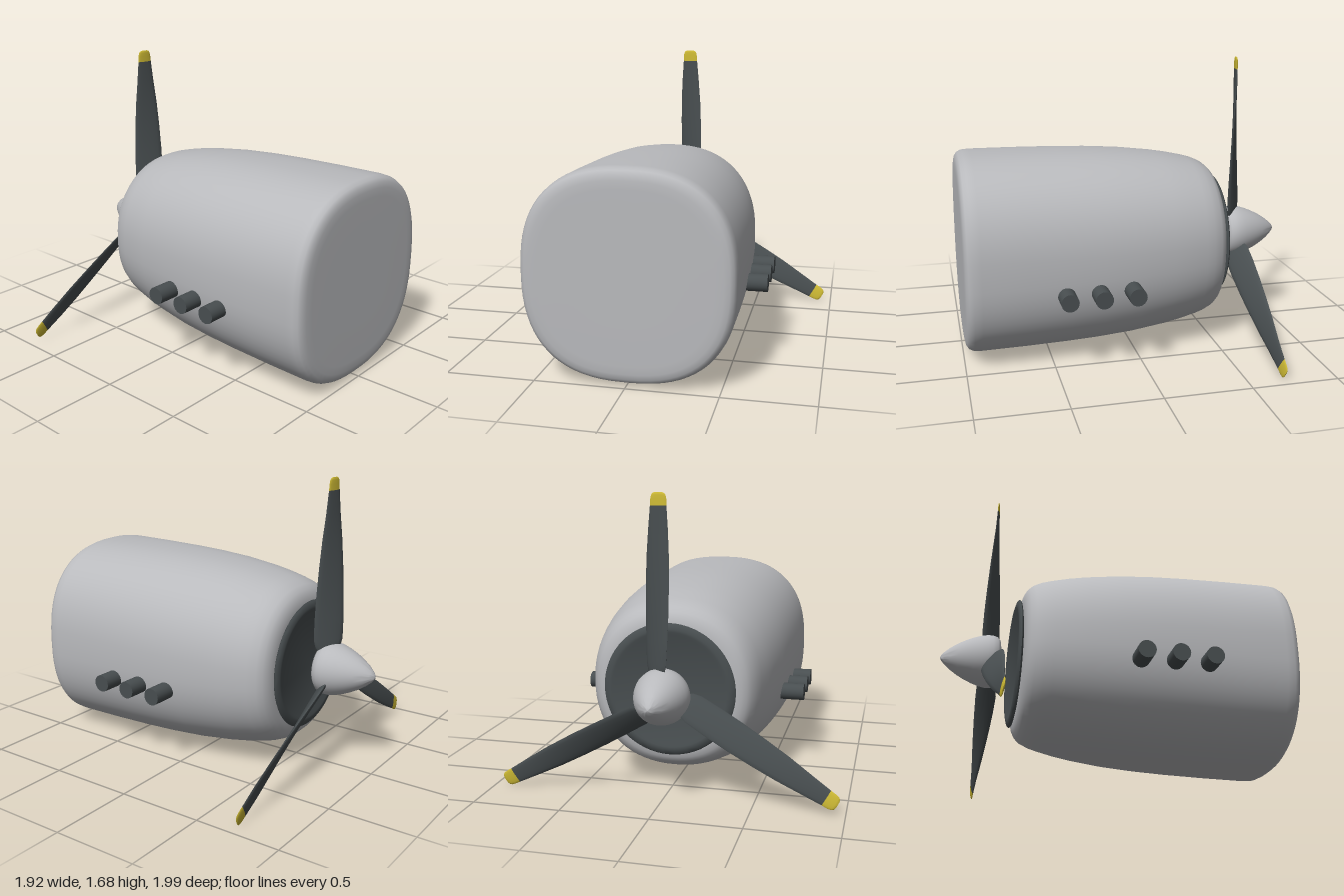
import * as THREE from 'three';
import { toCreasedNormals } from 'three/addons/utils/BufferGeometryUtils.js';

const AXIS_Y = 0.587;

// Skin a list of closed rings (each an array of Vector3).
function loft(rings) {
  const n = rings[0].length, pos = [], idx = [];
  rings.forEach(ring => ring.forEach(p => pos.push(p.x, p.y, p.z)));
  for (let i = 0; i < rings.length - 1; i++) {
    for (let j = 0; j < n; j++) {
      const k = (j + 1) % n;
      const a = i * n + j, b = i * n + k, c = a + n, d = b + n;
      idx.push(a, b, c, b, d, c);
    }
  }
  const g = new THREE.BufferGeometry();
  g.setAttribute('position', new THREE.Float32BufferAttribute(pos, 3));
  g.setIndex(idx);
  g.computeVertexNormals();
  return g;
}

// Rounded-square ring of the cowling.
function cowlRing([z, r]) {
  const e = 2 / THREE.MathUtils.mapLinear(z, -0.56, 0.99, 2.2, 2.5);
  return Array.from({ length: 72 }, (_, j) => {
    const t = j / 72 * Math.PI * 2, c = Math.cos(t), s = Math.sin(t);
    return new THREE.Vector3(
      Math.sign(c) * Math.abs(c) ** e * r, Math.sign(s) * Math.abs(s) ** e * r, z);
  });
}

// Lens-shaped blade section: radius, chord, pitch in degrees, thickness, sideways shift.
function bladeRing([y, chord, pitch, thick, shift]) {
  const p = THREE.MathUtils.degToRad(pitch), n = 16;
  return Array.from({ length: n }, (_, j) => {
    const t = j / n * Math.PI * 2;
    const u = Math.cos(t) * chord / 2, v = Math.sin(t) * thick / 2;
    return new THREE.Vector3(
      shift + u * Math.cos(p) + v * Math.sin(p), y, u * Math.sin(p) - v * Math.cos(p));
  });
}

export function createModel() {
  const model = new THREE.Group();
  model.name = 'aircraftEngine';
  const mat = (name, color) => {
    const m = new THREE.MeshStandardMaterial({ color });
    m.name = name;
    return m;
  };
  const metal = mat('lightGrey', 0xb9babd);
  const dark = mat('darkGrey', 0x484e50);
  const yellow = mat('tipYellow', 0xd0bc35);
  const add = (parent, name, geometry, material) => {
    const m = new THREE.Mesh(geometry, material);
    m.name = name;
    parent.add(m);
    return m;
  };

  // Cowling: tapered barrel with rounded rims and flat ends
  const cowlProfile = [
    [-0.555, 0], [-0.555, 0.2], [-0.555, 0.34], [-0.552, 0.375], [-0.543, 0.405],
    [-0.528, 0.432], [-0.5, 0.457], [-0.45, 0.479], [-0.4, 0.493], [-0.3, 0.515],
    [-0.2, 0.532], [0, 0.556], [0.2, 0.569], [0.4, 0.576], [0.65, 0.58], [0.9, 0.581],
    [0.945, 0.577], [0.97, 0.565], [0.984, 0.545], [0.99, 0.515], [0.992, 0.47],
    [0.992, 0.25], [0.992, 0]];
  add(model, 'cowling', loft(cowlProfile.map(cowlRing)), metal).position.y = AXIS_Y;

  // Lathe parts point towards the propeller (-z)
  const turned = (points, segments) =>
    toCreasedNormals(new THREE.LatheGeometry(
      points.map(([r, h]) => new THREE.Vector2(r, h)), segments), 0.7).rotateX(-Math.PI / 2);

  // Intake disc with a thin raised rim
  add(model, 'intakeDisc', turned([
    [0, 0.552], [0.34, 0.558], [0.37, 0.564], [0.378, 0.571], [0.37, 0.579],
    [0.345, 0.586], [0.33, 0.586], [0.315, 0.58], [0, 0.58]], 64), dark).position.y = AXIS_Y;

  // Exhaust stubs, three on each side
  for (const side of [1, -1]) {
    for (const z of [0.06, 0.25, 0.44]) {
      const stub = add(model, side > 0 ? 'leftExhaust' : 'rightExhaust',
        new THREE.CylinderGeometry(0.05, 0.05, 0.2, 24).rotateZ(Math.PI / 2), dark);
      stub.position.set(side * 0.582, 0.45, z);
    }
  }

  // Propeller: spinner and three twisted blades
  const propeller = new THREE.Group();
  propeller.name = 'propeller';
  propeller.position.y = AXIS_Y;
  model.add(propeller);

  add(propeller, 'spinner', turned([
    [0, 0.655], [0.1, 0.656], [0.13, 0.662], [0.147, 0.678], [0.155, 0.705], [0.155, 0.735],
    [0.148, 0.77], [0.135, 0.81], [0.116, 0.855], [0.092, 0.9], [0.062, 0.945],
    [0.036, 0.975], [0.016, 0.993], [0, 1]], 40), metal);

  const joint = [1.025, 0.095, 9, 0.013, 0.016];
  const bladeSections = [
    [0.1, 0.0, 40, 0.0, 0.035], [0.1, 0.1, 40, 0.028, 0.035], [0.135, 0.15, 40, 0.032, 0.034],
    [0.18, 0.175, 39, 0.032, 0.033], [0.3, 0.179, 36, 0.03, 0.03], [0.45, 0.175, 31, 0.027, 0.027],
    [0.6, 0.163, 26, 0.024, 0.024], [0.75, 0.146, 20, 0.02, 0.021], [0.9, 0.118, 13, 0.016, 0.018],
    joint];
  const tipSections = [
    joint, [1.06, 0.091, 8, 0.012, 0.015], [1.08, 0.082, 8, 0.011, 0.015],
    [1.09, 0.066, 8, 0.009, 0.015], [1.095, 0.04, 8, 0.005, 0.015], [1.095, 0, 8, 0, 0.015]];
  const bladeGeometry = toCreasedNormals(loft(bladeSections.map(bladeRing)), 0.9);
  const tipGeometry = toCreasedNormals(loft(tipSections.map(bladeRing)), 0.9);
  for (let i = 0; i < 3; i++) {
    const blade = new THREE.Group();
    blade.name = 'blade';
    blade.position.z = -0.712;
    blade.rotation.z = i * Math.PI * 2 / 3;
    add(blade, 'bladeBody', bladeGeometry, dark);
    add(blade, 'bladeTip', tipGeometry, yellow);
    propeller.add(blade);
  }
  return model;
}
